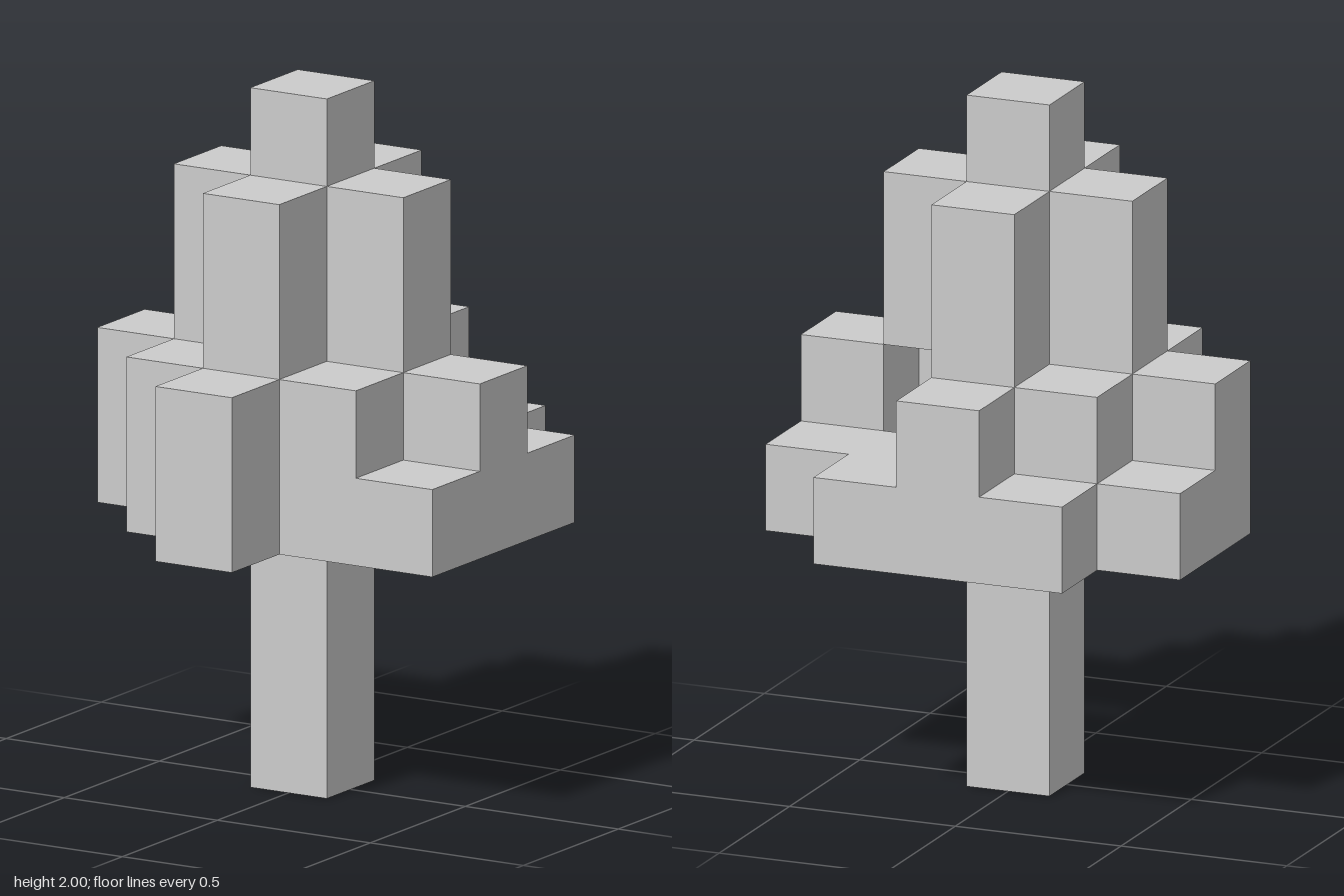
import * as THREE from 'three';
import { mergeGeometries } from 'three/addons/utils/BufferGeometryUtils.js';

const S = 0.25; // edge of one block

// Plan of block columns: rows run back to front, characters run from -x to +x.
// Each digit is the level at which the column ends or starts.
const TOPS = ['.454.', '45744', '57875', '.5754', '..5..'];
const BOTTOMS = ['.333.', '33333', '35053', '.3533', '..3..'];

function filled(i, j, k) {
  const top = TOPS[k + 2]?.[i + 2] ?? '.';
  if (top === '.') return false;
  return j >= Number(BOTTOMS[k + 2][i + 2]) && j < Number(top);
}

// Outward directions of the six block sides
const SIDES = [[1, 0, 0], [-1, 0, 0], [0, 1, 0], [0, -1, 0], [0, 0, 1], [0, 0, -1]];

// One square side of the block at cell (i, j, k)
function side(i, j, k, dir) {
  const n = new THREE.Vector3(...dir);
  const turn = new THREE.Quaternion().setFromUnitVectors(new THREE.Vector3(0, 0, 1), n);
  if (dir[2] === -1) turn.setFromAxisAngle(new THREE.Vector3(0, 1, 0), Math.PI);
  return new THREE.PlaneGeometry(S, S)
    .applyQuaternion(turn)
    .translate(
      i * S + n.x * S / 2,
      (j + 0.5) * S + n.y * S / 2,
      k * S + n.z * S / 2
    );
}

// Collects the exposed sides of all blocks that belong to a part
function blocks(name, belongs, material) {
  const faces = [];
  for (let i = -2; i <= 2; i++)
    for (let j = 0; j < 8; j++)
      for (let k = -2; k <= 2; k++) {
        if (!filled(i, j, k) || !belongs(i, j, k)) continue;
        for (const d of SIDES)
          if (!filled(i + d[0], j + d[1], k + d[2])) faces.push(side(i, j, k, d));
      }
  const mesh = new THREE.Mesh(mergeGeometries(faces), material);
  mesh.name = name;
  return mesh;
}

export function createModel() {
  const model = new THREE.Group();
  model.name = 'blockTree';
  const material = new THREE.MeshStandardMaterial({ color: 0xcccccc, flatShading: true });
  const inTrunk = (i, j, k) => i === 0 && k === 0 && j < 5;

  model.add(
    blocks('trunk', inTrunk, material),
    // Wide, uneven foliage, hollow beside the trunk
    blocks('lowerFoliage', (i, j, k) => j < 5 && !inTrunk(i, j, k), material),
    // Cross-shaped foliage
    blocks('upperFoliage', (i, j) => j === 5 || j === 6, material),
    blocks('treeTop', (i, j) => j === 7, material)
  );
  return model;
}
